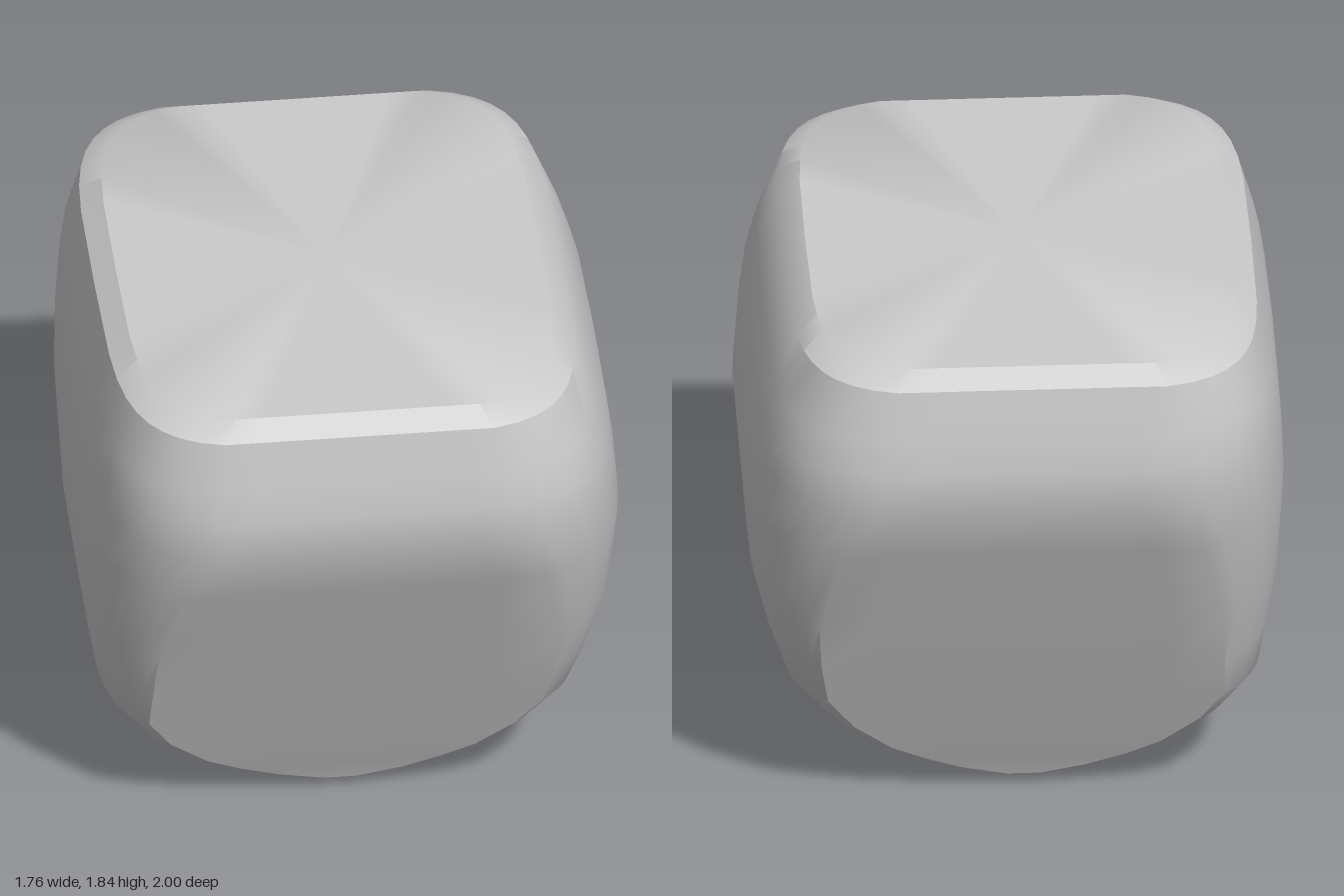
import * as THREE from 'three';
import { toCreasedNormals } from 'three/addons/utils/BufferGeometryUtils.js';

// Levels from bottom to top: height, centre x, half width, half depth,
// squareness of the corners, and how far the flat front and back cut them off.
const LEVELS = [
  [0.008, -0.03, 0.10, 0.16, 2.0, 1.02],
  [0.02, -0.03, 0.18, 0.26, 2.0, 1.02],
  [0.045, -0.03, 0.27, 0.39, 2.0, 1.02],
  [0.08, -0.03, 0.37, 0.405, 2.5, 1.10],
  [0.13, -0.035, 0.47, 0.43, 3.0, 1.14],
  [0.19, -0.035, 0.565, 0.46, 3.7, 1.14],
  [0.30, -0.035, 0.68, 0.51, 4.0, 1.17],
  [0.43, -0.03, 0.78, 0.57, 4.0, 1.17],
  [0.60, -0.015, 0.82, 0.65, 4.0, 1.14],
  [0.80, -0.005, 0.857, 0.74, 4.2, 1.10],
  [1.15, 0, 0.88, 0.90, 4.2, 1.05],
  [1.36, -0.005, 0.866, 0.995, 4.2, 1.02],
  [1.50, -0.01, 0.85, 1.0, 4.3, 1.02],
  [1.62, -0.02, 0.82, 0.985, 4.5, 1.02],
  [1.79, -0.03, 0.76, 0.96, 4.5, 1.02],
  [1.84, -0.03, 0.69, 0.89, 4.5, 1.02],
];
const ARC = 9, FLAT = 4;

// One closed cross-section: rounded corners, flattened at front and back
function section([y, cx, hx, hz, n, cut]) {
  const end = Math.asin(Math.pow(1 / cut, n / 2));
  const quarter = [];
  for (let i = 0; i <= ARC; i++) {
    const a = (end * i) / ARC;
    quarter.push([hx * Math.cos(a) ** (2 / n), hz * cut * Math.sin(a) ** (2 / n)]);
  }
  const edge = quarter[ARC][0];
  for (let i = 1; i <= FLAT; i++) quarter.push([edge * (1 - i / FLAT), hz]);
  const mirrored = quarter.slice(0, -1).reverse().map(([x, z]) => [-x, z]);
  const half = [...quarter, ...mirrored];
  const back = half.slice(1, -1).reverse().map(([x, z]) => [x, -z]);
  return [...half, ...back].map(([x, z]) => [x + cx, y, z]);
}

function bodyGeometry() {
  const rings = LEVELS.map(section);
  const count = rings[0].length;
  const points = rings.flat();
  const bottom = points.push([-0.03, 0, 0]) - 1;
  const top = points.push([-0.03, 1.84, 0]) - 1;
  const last = (rings.length - 1) * count;
  const index = [];
  for (let i = 0; i < count; i++) {
    const j = (i + 1) % count;
    for (let r = 0; r < last; r += count) {
      index.push(r + i, r + count + i, r + j);
      index.push(r + j, r + count + i, r + count + j);
    }
    index.push(bottom, i, j, top, last + j, last + i);
  }
  const geometry = new THREE.BufferGeometry();
  geometry.setAttribute('position', new THREE.Float32BufferAttribute(points.flat(), 3));
  geometry.setIndex(index);
  return toCreasedNormals(geometry, 0.6);
}

export function createModel() {
  const model = new THREE.Group();
  model.name = 'taperedBlock';
  const body = new THREE.Mesh(bodyGeometry(), new THREE.MeshStandardMaterial({ color: 0xcccccc }));
  body.name = 'body';
  model.add(body);
  return model;
}
